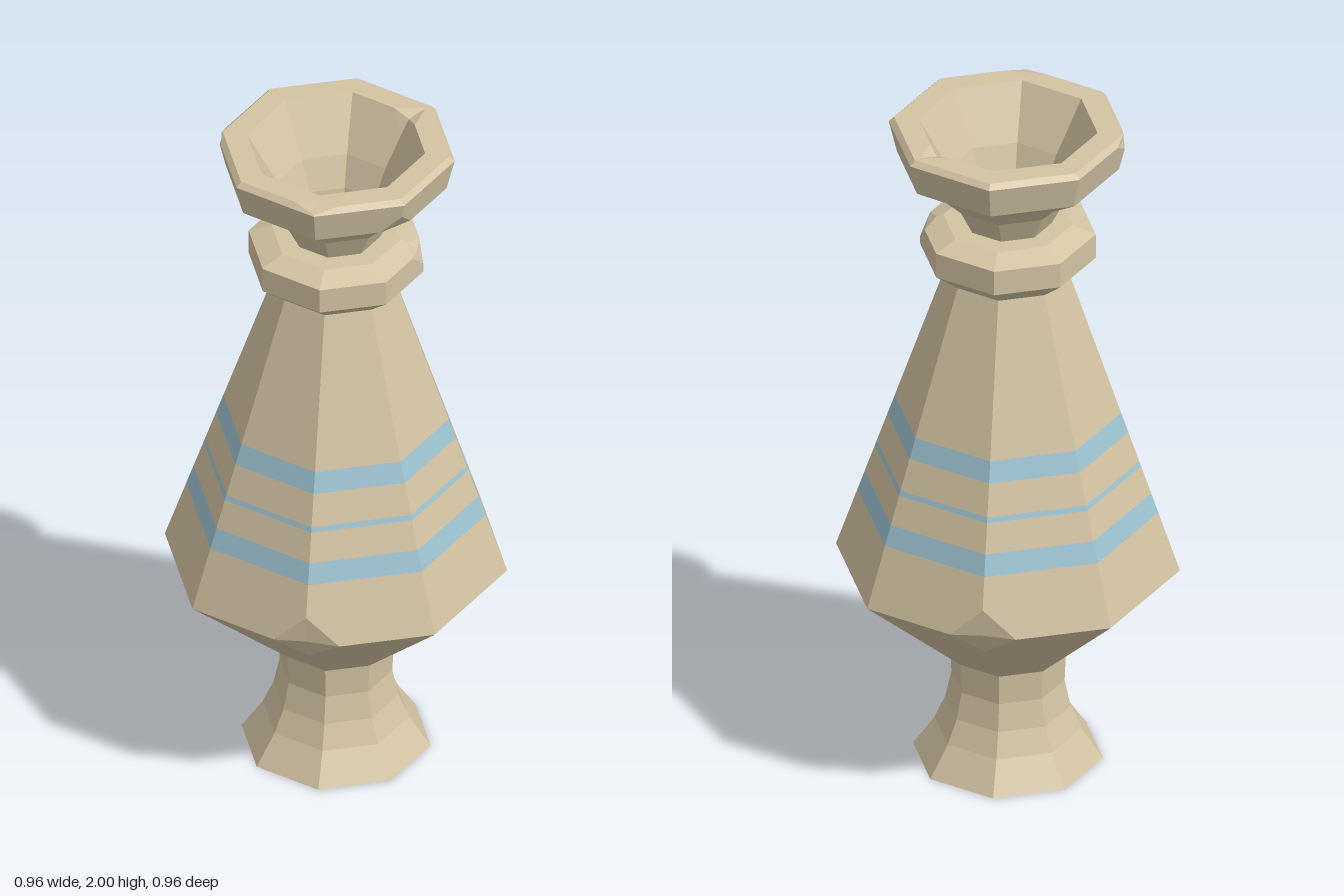
import * as THREE from 'three';

const SIDES = 8;

// radius of the tapering shoulder at a given height
const shoulderR = (y) => 0.48 - 0.308 * (y - 0.62) / 0.92;
const shoulderRing = (y) => [shoulderR(y), y];

// rings [radius, height] from the foot, up the outside, over the lip and down inside
const parts = [
  ['foot', 'clay', [[0.265, 0], [0.205, 0.09], [0.175, 0.16], [0.158, 0.24], [0.162, 0.33]]],
  ['belly', 'clay', [[0.48, 0.62]]],
  ['lowerShoulder', 'clay', [shoulderRing(0.80)]],
  ['lowerStripe', 'blue', [shoulderRing(0.86)]],
  ['shoulderBandLow', 'clay', [shoulderRing(0.944)]],
  ['thinStripe', 'blue', [shoulderRing(0.959)]],
  ['shoulderBandHigh', 'clay', [shoulderRing(1.05)]],
  ['upperStripe', 'blue', [shoulderRing(1.11)]],
  ['upperShoulder', 'clay', [[0.172, 1.54]]],
  ['collar', 'clay', [[0.245, 1.60], [0.245, 1.675], [0.18, 1.70], [0.122, 1.70]]],
  ['neck', 'clay', [[0.16, 1.775], [0.21, 1.825], [0.31, 1.89]]],
  ['rim', 'clay', [[0.333, 1.985], [0.318, 2]]],
  ['lip', 'clay', [[0.25, 2]]],
  ['innerWall', 'clay', [[0.165, 1.85], [0.13, 1.76], [0.118, 1.68]]],
];
const rings = parts.flatMap((p) => p[2]);
const ringAt = (r, y) => rings.findIndex((q) => q[0] === r && q[1] === y);

// broken corners: how far each runs along the edge up, down and sideways
const chips = [
  { k: ringAt(0.48, 0.62), i: 1, up: 0.5, down: 0.24, side: 0.27, depth: 0.85 },
  { k: ringAt(0.48, 0.62), i: 5, up: 0.5, down: 0.24, side: 0.27, depth: 0.85 },
  { k: ringAt(0.31, 1.89), i: 6, up: 0.55, down: 0.8, side: 0.23, depth: 0.9 },
  { k: ringAt(0.245, 1.675), i: 7, up: 0.7, down: 0.65, side: 0.28, depth: 0.85 },
  { k: ringAt(0.333, 1.985), i: 3, up: 0.8, down: 0.3, side: 0.2, depth: 0.9 },
  { k: ringAt(0.318, 2), i: 5, up: 0.7, down: 0.8, side: 0.27, depth: 0.9 },
  { k: ringAt(0.25, 2), i: 0, up: 0.3, down: 0.75, side: 0.28, depth: 1 },
];
// the inner notch runs outward across the lip
chips[6].down = 0.72;
chips[6].up = 0.4;

const wrap = (i) => (i + SIDES) % SIDES;

function corner([k, i]) {
  const a = wrap(i) * Math.PI * 2 / SIDES;
  const [r, y] = rings[k];
  return new THREE.Vector3(r * Math.cos(a), y, -r * Math.sin(a));
}

const chipAt = ([k, i]) => chips.find((c) => c.k === k && c.i === wrap(i));

// point where a chip meets the edge leading to a neighbouring corner
function chipPoint(chip, from, to) {
  const t = to[0] > from[0] ? chip.up : to[0] < from[0] ? chip.down : chip.side;
  return corner(from).lerp(corner(to), t);
}

// polygon over corner ids, with chipped corners cut off
function polygon(ids) {
  return ids.flatMap((id, n) => {
    const chip = chipAt(id);
    if (!chip) return [corner(id)];
    const prev = ids[(n + ids.length - 1) % ids.length];
    const next = ids[(n + 1) % ids.length];
    return [chipPoint(chip, id, prev), chipPoint(chip, id, next)];
  });
}

function fan(out, pts) {
  for (let n = 1; n < pts.length - 1; n++) out.push(pts[0], pts[n], pts[n + 1]);
}

// four small facets filling a broken corner
function chipFacets(out, chip) {
  const { k, i } = chip;
  const id = [k, i];
  const edge = [[k + 1, i], [k, i - 1], [k - 1, i], [k, i + 1]].map((to) => chipPoint(chip, id, to));
  const mean = new THREE.Vector3();
  edge.forEach((p) => mean.addScaledVector(p, 0.25));
  const centre = corner(id).lerp(mean, chip.depth);
  edge.forEach((p, n) => out.push(centre, p, edge[(n + 1) % 4]));
}

function mesh(name, pts, material) {
  const geometry = new THREE.BufferGeometry().setFromPoints(pts);
  geometry.computeVertexNormals();
  const m = new THREE.Mesh(geometry, material);
  m.name = name;
  return m;
}

export function createModel() {
  const group = new THREE.Group();
  group.name = 'vase';
  const materials = {
    clay: new THREE.MeshStandardMaterial({ color: 0xd3c3a3 }),
    blue: new THREE.MeshStandardMaterial({ color: 0x9dc3d1 }),
  };
  materials.clay.name = 'clay';
  materials.blue.name = 'blueGlaze';

  // octagonal bands, each part starting at the last ring of the one before
  let k = 0;
  parts.forEach(([name, colour, own], n) => {
    const pts = [];
    const count = n === 0 ? own.length - 1 : own.length;
    for (let s = 0; s < count; s++, k++) {
      for (let i = 0; i < SIDES; i++) {
        fan(pts, polygon([[k, i], [k, i + 1], [k + 1, i + 1], [k + 1, i]]));
      }
      chips.filter((c) => c.k === k + 1).forEach((c) => chipFacets(pts, c));
    }
    group.add(mesh(name, pts, materials[colour]));
  });

  // underside of the foot and floor of the bowl
  const disc = (ring) => Array.from({ length: SIDES }, (_, i) => corner([ring, i]));
  const base = [];
  fan(base, disc(0).reverse());
  group.add(mesh('base', base, materials.clay));
  const floor = [];
  fan(floor, disc(rings.length - 1));
  group.add(mesh('innerFloor', floor, materials.clay));
  return group;
}
